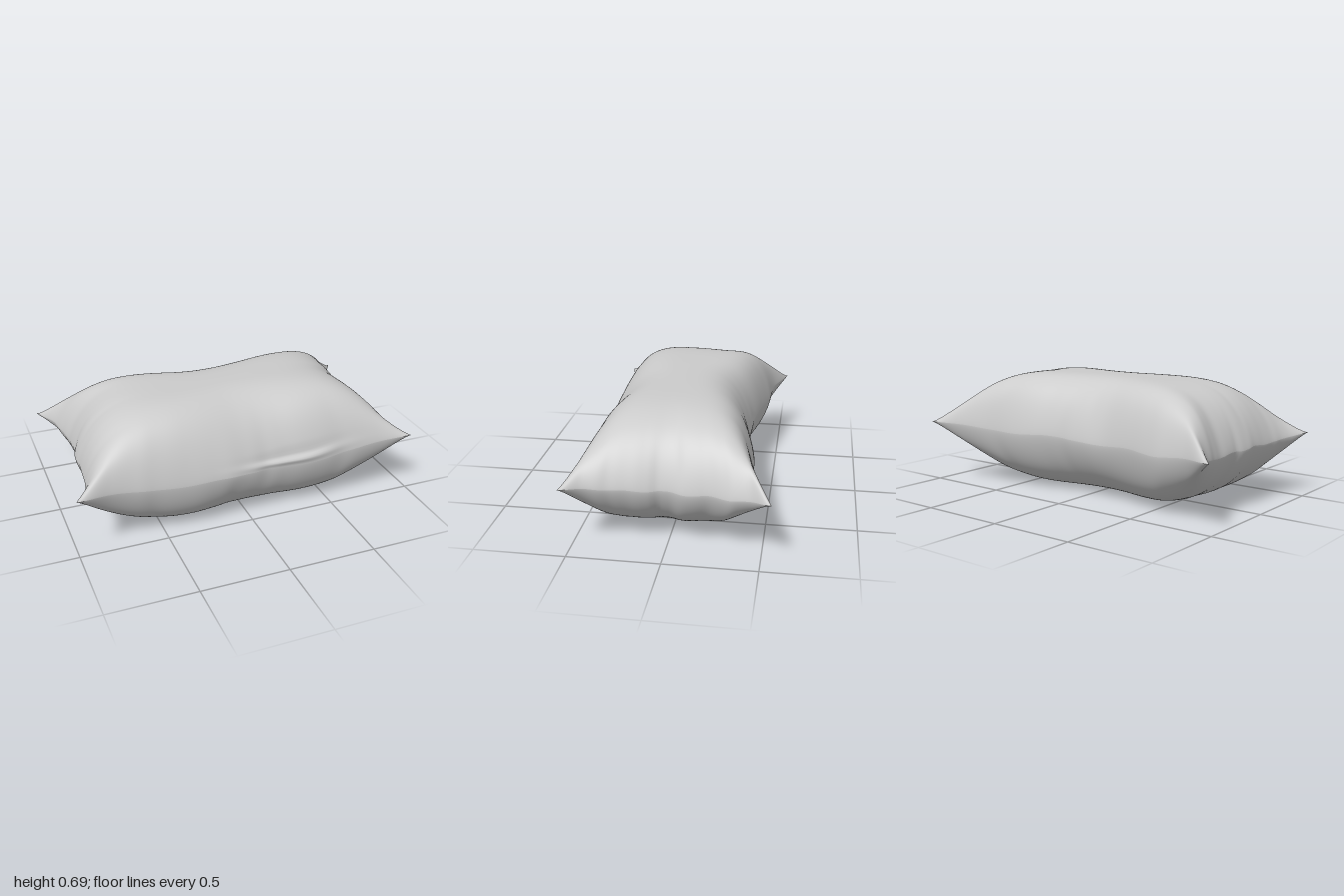
import * as THREE from 'three';

const SEGMENTS_X = 140, SEGMENTS_Z = 100;

// Smooth value along evenly spaced samples, s from -1 to 1
function edge(values) {
  const curve = new THREE.SplineCurve(values.map((v, i) => new THREE.Vector2(i, v)));
  return (s) => curve.getPoint(THREE.MathUtils.clamp((s + 1) / 2, 0, 1)).y;
}

// Seam outline: the sides pull inward and the corners form points
const back = edge([-0.54, -0.465, -0.44, -0.405, -0.37, -0.37, -0.385, -0.42, -0.435, -0.475, -0.55]);
const front = edge([0.545, 0.495, 0.49, 0.505, 0.505, 0.495, 0.485, 0.495, 0.49, 0.5, 0.53]);
const left = edge([1, 0.92, 0.895, 0.87, 0.865, 0.845, 0.86, 0.875, 0.895, 0.92, 0.985]);
const right = edge([-1, -0.925, -0.9, -0.875, -0.875, -0.89, -0.89, -0.9, -0.905, -0.935, -1]);

// Height of the seam on each side
const backY = edge([0.37, 0.36, 0.34, 0.35, 0.335, 0.34, 0.35, 0.34, 0.345, 0.36, 0.37]);
const frontY = edge([0.37, 0.345, 0.32, 0.305, 0.31, 0.305, 0.3, 0.3, 0.32, 0.35, 0.37]);
const leftY = edge([0.37, 0.345, 0.33, 0.335, 0.325, 0.335, 0.33, 0.34, 0.34, 0.355, 0.37]);
const rightY = edge([0.37, 0.355, 0.34, 0.33, 0.34, 0.335, 0.345, 0.335, 0.34, 0.35, 0.37]);

// Seam heights blended into the middle of the pillow
function seamHeight(u, v) {
  const lerp = THREE.MathUtils.lerp;
  const acrossX = lerp(rightY(v), leftY(v), (u + 1) / 2) - 0.37;
  const acrossZ = lerp(backY(u), frontY(u), (v + 1) / 2) - 0.37;
  return 0.37 + acrossX * u ** 4 + acrossZ * v ** 4 - 0.025 * (1 - u ** 4) * (1 - v ** 4);
}

const bump = (x, centre, width) => Math.exp(-(((x - centre) / width) ** 2));

// A few uneven dents along a seam: [position, width, depth]
const DENTS = [[-0.62, 0.06, 0.5], [-0.4, 0.1, -0.6], [-0.12, 0.07, 0.7], [0.1, 0.05, -1], [0.3, 0.09, 0.6], [0.58, 0.07, -0.8]];
const dents = (s, flip) => DENTS.reduce((sum, [at, width, depth]) => sum + depth * bump(s * flip, at, width), 0);

// A point on one cover; side is 1 for the top and -1 for the bottom
function coverPoint(u, v, side) {
  const top = side > 0;
  const powerX = top ? 6 : 4.3;
  // Long sides slope gently at the middle and stand fuller towards the corners
  const [middle, full] = top ? (v > 0 ? [2.4, 4] : [4, 5.5]) : (v > 0 ? [3.6, 5.2] : [2.7, 3.6]);
  const powerZ = THREE.MathUtils.lerp(middle, full, THREE.MathUtils.smoothstep(Math.abs(u), 0, 0.65));
  const swell = Math.max(0, (1 - Math.abs(u) ** powerX) * (1 - Math.abs(v) ** powerZ)) ** (top ? 0.78 : 0.7);
  const creases =
    v ** 6 * (1 - u ** 4) * dents(u, side * Math.sign(v)) +
    u ** 8 * (1 - v ** 4) * dents(v, -side * Math.sign(u));
  let height = 0.345 * swell * (1 + (top ? 0.06 : 0.12) * creases);
  // Tucked groove behind the lip on the front seam
  const lip = bump(u, 0.27, 0.24) * (v > 0 ? 1 : 0);
  if (top) height -= 0.02 * lip * bump(v, 0.955, 0.016);
  // Hem wobble and the lip's outward roll
  const hemX = 0.007 * u ** 9 * (1 - v ** 4) * dents(v, Math.sign(u));
  const hemZ = 0.007 * v ** 9 * (1 - u ** 4) * dents(u, 1);
  const roll = top ? 0.018 * lip * bump(v, 0.983, 0.012) : 0;
  return [
    THREE.MathUtils.lerp(right(v), left(v), (u + 1) / 2) + hemX,
    seamHeight(u, v) + side * height,
    THREE.MathUtils.lerp(back(u), front(u), (v + 1) / 2) + hemZ + roll,
  ];
}

// One cover as a grid that gets finer towards the seam
function coverGeometry(side) {
  const geometry = new THREE.PlaneGeometry(2, 2, SEGMENTS_X, SEGMENTS_Z);
  geometry.rotateX(-Math.PI / 2);
  const position = geometry.attributes.position;
  for (let i = 0; i < position.count; i++) {
    const u = Math.sin(position.getX(i) * Math.PI / 2);
    const v = Math.sin(position.getZ(i) * Math.PI / 2);
    position.setXYZ(i, ...coverPoint(u, v, side));
  }
  // Reverse the winding so that the bottom faces outward
  if (side < 0) geometry.index.array.reverse();
  geometry.computeVertexNormals();
  return geometry;
}

export function createModel() {
  const group = new THREE.Group();
  group.name = 'pillow';
  const cloth = new THREE.MeshStandardMaterial({ color: 0xcccccc, side: THREE.DoubleSide });
  for (const [name, side] of [['topCover', 1], ['bottomCover', -1]]) {
    const mesh = new THREE.Mesh(coverGeometry(side), cloth);
    mesh.name = name;
    group.add(mesh);
  }

  // Stand the pillow on the ground
  const box = new THREE.Box3().setFromObject(group);
  group.children.forEach((mesh) => mesh.geometry.translate(0, -box.min.y, 0));
  return group;
}
